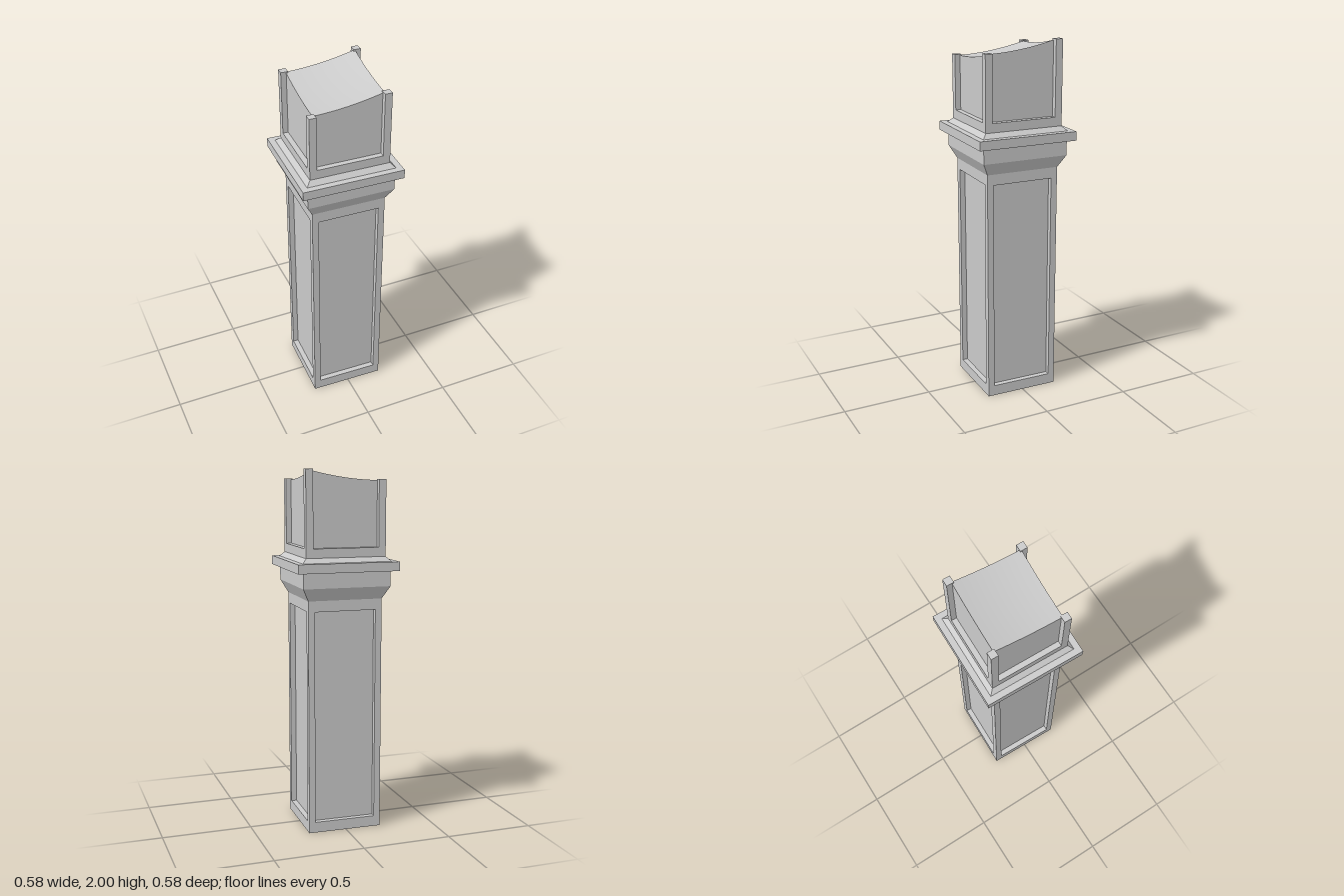
import * as THREE from 'three';

export function createModel() {
  const root = new THREE.Group();
  root.name = 'pillar';
  const mat = new THREE.MeshStandardMaterial({ color: 0xcccccc });
  const flat = new THREE.MeshStandardMaterial({ color: 0xcccccc, flatShading: true });

  function add(name, geo, material = mat) {
    const mesh = new THREE.Mesh(geo, material);
    mesh.name = name;
    root.add(mesh);
    return mesh;
  }

  // Square block between two heights, with half-width h
  function block(name, h, y0, y1, x = 0, z = 0) {
    add(name, new THREE.BoxGeometry(2 * h, y1 - y0, 2 * h)).position.set(x, (y0 + y1) / 2, z);
  }

  // Four square corner posts; top(sx, sz) gives each post's height
  function posts(name, outer, width, y0, top) {
    for (const sx of [-1, 1]) for (const sz of [-1, 1]) {
      const c = outer - width / 2;
      block(name, width / 2, y0, top(sx, sz), sx * c, sz * c);
    }
  }

  // Shaft with a recessed panel on each side
  block('shaftBottomRail', 0.208, 0, 0.06);
  block('shaftTopRail', 0.208, 1.245, 1.305);
  block('shaftPanels', 0.178, 0.06, 1.245);
  posts('shaftCornerPost', 0.208, 0.036, 0.06, () => 1.245);

  // Square capital: flared neck, projecting slab and bevelled top, [half-width, height]
  const profile = [
    [0, 1.305], [0.208, 1.305], [0.245, 1.375], [0.245, 1.46], [0.2825, 1.46],
    [0.2825, 1.51], [0.248, 1.51], [0.223, 1.535], [0, 1.535],
  ].map(([h, y]) => new THREE.Vector2(h * Math.SQRT2, y));
  add('capital', new THREE.LatheGeometry(profile, 4, Math.PI / 4).toNonIndexed(), flat);

  // Upper frame, its corner posts rising towards the back left
  block('upperRail', 0.223, 1.535, 1.585);
  posts('upperCornerPost', 0.223, 0.04, 1.585, (sx, sz) => 1.945 + 0.0275 * (sx - sz));

  // Upper core with a sagging, sloped top
  const half = 0.193;
  const core = new THREE.BoxGeometry(2 * half, 1, 2 * half, 12, 1, 12);
  const p = core.attributes.position;
  const rise = (t) => 0.055 * (0.15 * t + 0.85 * t * t);
  for (let i = 0; i < p.count; i++) {
    const u = (p.getX(i) / half + 1) / 2;
    const v = (1 - p.getZ(i) / half) / 2;
    p.setY(i, p.getY(i) > 0 ? 1.885 + rise(u) + rise(v) : 1.585);
  }
  core.computeVertexNormals();
  add('upperCore', core);

  // The whole pillar is turned slightly
  root.rotation.y = -0.027;
  const model = new THREE.Group();
  model.name = 'stonePillar';
  model.add(root);
  return model;
}
